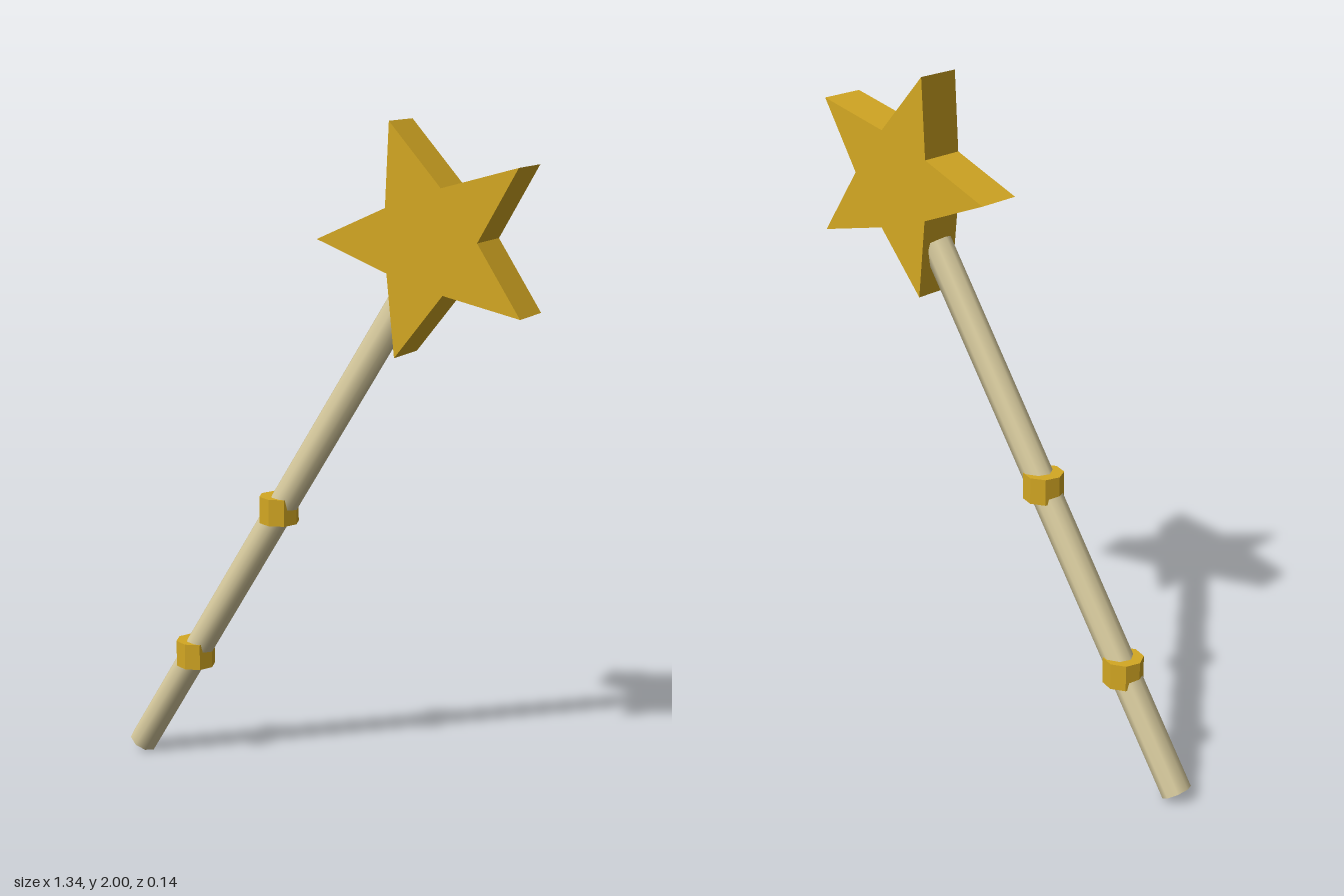
import * as THREE from 'three';
import { mergeVertices } from 'three/addons/utils/BufferGeometryUtils.js';

export function createModel() {
  const wand = new THREE.Group();
  wand.name = 'starWand';
  const gold = new THREE.MeshStandardMaterial({ color: 0xd4a823 });
  gold.name = 'gold';
  const ivory = new THREE.MeshStandardMaterial({ color: 0xd9cc9f });
  ivory.name = 'ivory';

  const add = (name, geometry, material) => {
    const mesh = new THREE.Mesh(geometry, material);
    mesh.name = name;
    wand.add(mesh);
    return mesh;
  };

  // Slanted eight-sided rod, shaded softly across its sides and ends
  const bottom = new THREE.Vector3(-0.632, 0.025, 0);
  const top = new THREE.Vector3(0.283, 1.507, 0);
  const axis = top.clone().sub(bottom);
  let rodGeometry = new THREE.CylinderGeometry(0.045, 0.045, axis.length(), 8);
  rodGeometry.deleteAttribute('uv');
  rodGeometry.deleteAttribute('normal');
  rodGeometry = mergeVertices(rodGeometry);
  rodGeometry.computeVertexNormals();
  const rod = add('rod', rodGeometry, ivory);
  rod.position.copy(bottom).add(top).multiplyScalar(0.5);
  rod.quaternion.setFromUnitVectors(new THREE.Vector3(0, 1, 0), axis.normalize());

  // Upright octagonal bands that the rod pokes through
  const bands = { lowerBand: [-0.428, 0.357], upperBand: [-0.125, 0.854] };
  for (const [name, [x, y]] of Object.entries(bands)) {
    const geometry = new THREE.CylinderGeometry(0.06, 0.06, 0.08, 8).toNonIndexed();
    geometry.computeVertexNormals();
    add(name, geometry, gold).position.set(x, y, 0);
  }

  // Thick five-pointed star, turned to lean with the rod
  const points = [];
  for (let i = 0; i < 10; i++) {
    const radius = i % 2 ? 0.152 : 0.34;
    const angle = THREE.MathUtils.degToRad(110 + i * 36);
    points.push(new THREE.Vector2(radius * Math.cos(angle), radius * Math.sin(angle)));
  }
  const starGeometry = new THREE.ExtrudeGeometry(new THREE.Shape(points), { depth: 0.14, bevelEnabled: false });
  starGeometry.translate(0, 0, -0.07);
  add('star', starGeometry, gold).position.set(0.383, 1.681, 0);

  return wand;
}
